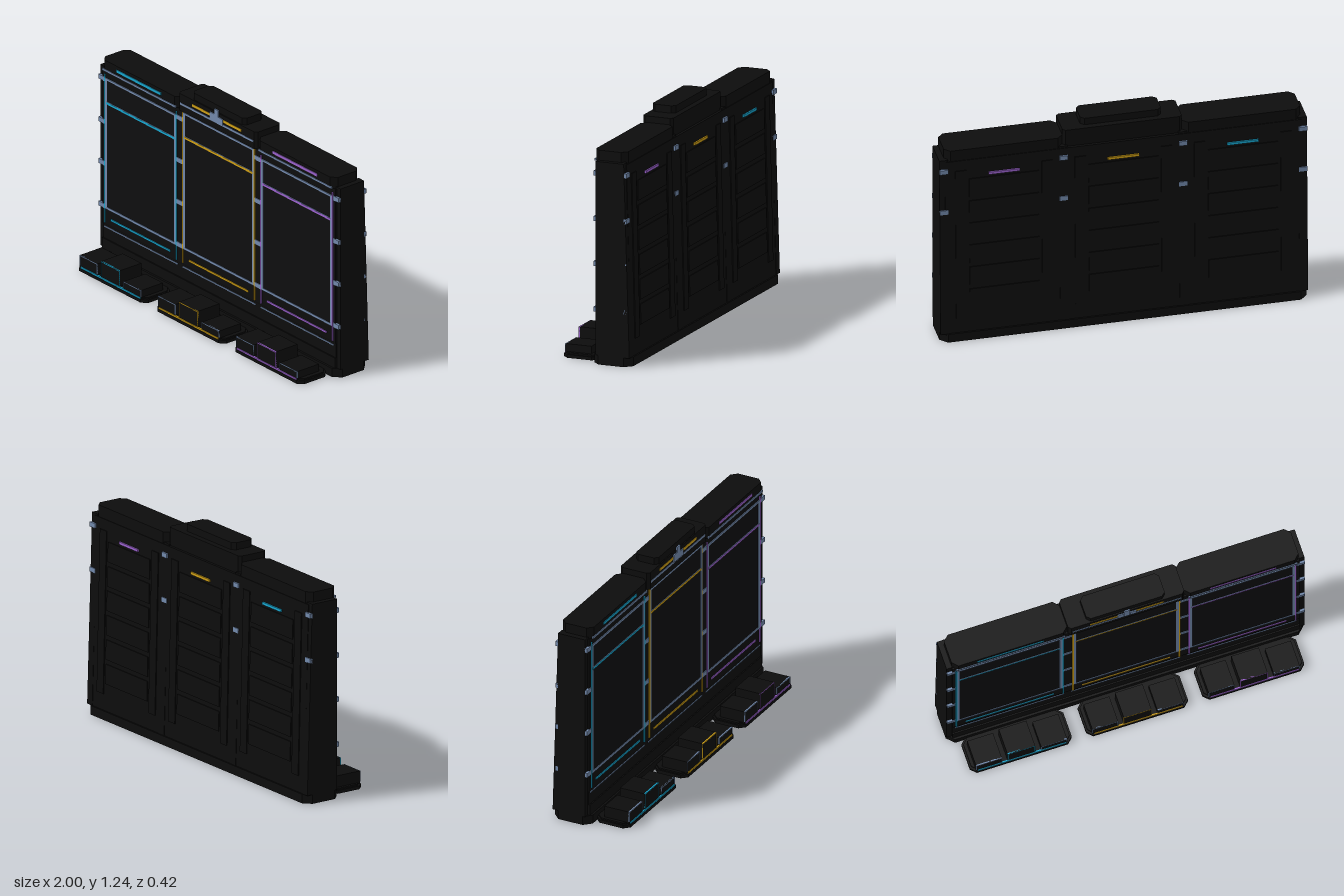
import * as THREE from 'three';

const mat = (name, color) => {
  const m = new THREE.MeshStandardMaterial({ color });
  m.name = name;
  return m;
};

export function createModel() {
  const model = new THREE.Group();
  model.name = 'displayWall';
  const body = mat('nearBlack', 0x0d0d0d);
  const screenMat = mat('screenBlack', 0x0e0e10);
  const steel = mat('steelBlue', 0x7289ac);
  const cyan = mat('cyan', 0x17a6cf);
  const gold = mat('gold', 0xd0a015);
  const violet = mat('violet', 0x9c63cf);

  const add = (parent, name, geo, material) => {
    const mesh = new THREE.Mesh(geo, material);
    mesh.name = name;
    parent.add(mesh);
    return mesh;
  };
  // Box given by its limits on each axis
  const box = (parent, name, material, x0, x1, y0, y1, z0, z1) => {
    const geo = new THREE.BoxGeometry(x1 - x0, y1 - y0, z1 - z0);
    geo.translate((x0 + x1) / 2, (y0 + y1) / 2, (z0 + z1) / 2);
    return add(parent, name, geo, material);
  };
  // Slab with cut corners in plan; separate cuts for front and back
  const slab = (parent, name, x0, x1, y0, y1, z0, z1, cutFront, cutBack = cutFront) => {
    const s = new THREE.Shape([
      [x0 + cutBack, z0], [x1 - cutBack, z0], [x1, z0 + cutBack], [x1, z1 - cutFront],
      [x1 - cutFront, z1], [x0 + cutFront, z1], [x0, z1 - cutFront], [x0, z0 + cutBack],
    ].map(([x, z]) => new THREE.Vector2(x, z)));
    const geo = new THREE.ExtrudeGeometry(s, { depth: y1 - y0, bevelEnabled: false });
    geo.rotateX(Math.PI / 2).translate(0, y1, 0);
    return add(parent, name, geo, body);
  };
  // Side profile of (z, y) points swept along x
  const sweep = (parent, name, x0, x1, points, material = body) => {
    const s = new THREE.Shape(points.map(([z, y]) => new THREE.Vector2(z, y)));
    const geo = new THREE.ExtrudeGeometry(s, { depth: x1 - x0, bevelEnabled: false });
    geo.rotateY(-Math.PI / 2).translate(x1, 0, 0);
    return add(parent, name, geo, material);
  };
  // The rear face leans forward as it rises
  const backZ = (y) => -0.205 + 0.024 * y;
  const backPlate = (parent, name, x0, x1, y0, y1, out, material = body) =>
    sweep(parent, name, x0, x1, [
      [backZ(y0) - out, y0], [backZ(y0) + 0.004, y0],
      [backZ(y1) + 0.004, y1], [backZ(y1) - out, y1],
    ], material);

  // Main wall, plinth and kick band
  sweep(model, 'wall', -0.97, 0.97, [
    [backZ(0.04), 0.04], [-0.006, 0.04], [-0.006, 0.19], [-0.003, 0.2],
    [-0.003, 1.1], [backZ(1.1), 1.1],
  ]);
  slab(model, 'plinth', -1, 1, 0, 0.05, -0.213, 0.013, 0.04);
  box(model, 'kickBand', body, -0.97, 0.97, 0.05, 0.11, -0.02, 0.001);

  // Pillars with clips on both faces
  for (const px of [-0.977, -0.325, 0.325, 0.977]) {
    const pillar = new THREE.Group();
    pillar.name = 'pillar';
    model.add(pillar);
    const w = 0.023;
    sweep(pillar, 'pillarBody', px - w, px + w, [
      [backZ(0.05) - 0.003, 0.05], [-0.012, 0.05], [-0.012, 1.11], [backZ(1.11) + 0.004, 1.11],
    ]);
    for (const y of [0.3, 0.55, 0.795, 1.045]) {
      box(pillar, 'frontClip', steel, px - w, px + w, y - 0.013, y + 0.013, -0.016, 0.001);
      const z = backZ(y);
      box(pillar, 'backClip', steel, px - w, px + w, y - 0.013, y + 0.013, -0.19, Math.max(-0.174, z));
    }
  }

  // Headers
  slab(model, 'rightHeader', -0.97, -0.325, 1.1, 1.165, -0.175, 0.01, 0.03);
  slab(model, 'leftHeader', 0.325, 0.97, 1.1, 1.165, -0.175, 0.01, 0.03);
  slab(model, 'centreHeader', -0.325, 0.325, 1.1, 1.2, -0.163, 0.012, 0.015);
  slab(model, 'crown', -0.22, 0.22, 1.2, 1.24, -0.13, 0.005, 0.02);

  // Stepped ornament on the centre header
  box(model, 'ornamentMiddle', steel, -0.016, 0.016, 1.143, 1.218, 0.01, 0.018);
  box(model, 'ornamentRight', steel, -0.053, -0.018, 1.143, 1.187, 0.01, 0.018);
  box(model, 'ornamentLeft', steel, 0.018, 0.053, 1.143, 1.18, 0.01, 0.018);

  // One display bay: screen, trims, rear panel and stepped platform
  const makeBay = (name, cx, accent, tall) => {
    const bay = new THREE.Group();
    bay.name = name;
    bay.position.x = cx;
    model.add(bay);
    const top = tall ? 1.085 : 1.05;
    const line = (part, material, x0, x1, y, h, z = 0.002) =>
      box(bay, part, material, x0, x1, y - h / 2, y + h / 2, z - 0.008, z);

    box(bay, 'screen', screenMat, -0.29, 0.29, 0.295, top, -0.008, -0.001);
    line('screenTopTrim', steel, -0.293, 0.293, top, 0.011);
    line('screenBottomTrim', steel, -0.293, 0.293, 0.295, 0.014);
    line('screenDivider', steel, -0.285, 0.285, top - 0.132, 0.004);
    line('screenAccent', accent, -0.285, 0.285, top - 0.126 - 0.013, 0.012, 0.003);
    for (const s of [-1, 1]) {
      const x = s * 0.287;
      box(bay, 'screenSideTrim', steel, x - 0.008, x + 0.008, 0.29, top + 0.005, -0.006, 0.002);
      const a = s * 0.298;
      box(bay, 'sideAccent', accent, a - 0.004, a + 0.004, 0.205, top + 0.025, -0.006, 0.003);
    }
    const hy = tall ? 1.143 : 1.107;
    const half = tall ? 0.205 : 0.185;
    line('headerTrim', steel, -0.305, 0.305, hy, 0.012, 0.014);
    line('headerAccent', accent, -half, half, hy + (tall ? 0.026 : 0.031), 0.015, 0.014);
    line('lowerAccent', accent, -0.247, 0.247, 0.236, 0.011);
    line('lowerTrim', steel, -0.305, 0.305, 0.18, 0.006, -0.002);

    // Rear door frame, slats and marker
    for (const s of [-1, 1])
      backPlate(bay, 'rearStile', s * 0.235 - 0.03, s * 0.235 + 0.03, 0.14, 1.04, 0.005);
    for (let i = 0; i < 6; i++)
      backPlate(bay, 'rearSlat', -0.19, 0.19, 0.2 + i * 0.135, 0.31 + i * 0.135, 0.005);
    backPlate(bay, 'rearMarker', -0.085, 0.085, 1.0, 1.014, 0.009, accent);

    // Platform with three blocks, outlined on their front faces
    slab(bay, 'platform', -0.285, 0.285, 0, 0.018, 0.01, 0.211, 0.03);
    slab(bay, 'platformDeck', -0.275, 0.275, 0.018, 0.026, 0.015, 0.203, 0.03);
    line('platformAccent', accent, -0.247, 0.247, 0.022, 0.009, 0.209);
    const blocks = [
      ['secondBlock', -0.257, -0.113, 0.09, steel],
      ['firstBlock', -0.081, 0.073, 0.118, accent],
      ['thirdBlock', 0.107, 0.252, 0.068, steel],
    ];
    for (const [part, x0, x1, h, m] of blocks) {
      box(bay, part, body, x0, x1, 0.02, h, 0.055, 0.204);
      line(part + 'Outline', m, x0, x1, h - 0.002, 0.004, 0.206);
      for (const x of [x0, x1 - 0.003])
        box(bay, part + 'Outline', m, x, x + 0.003, 0.03, h, 0.2, 0.206);
    }
  };
  makeBay('rightBay', -0.65, cyan, false);
  makeBay('centreBay', 0, gold, true);
  makeBay('leftBay', 0.65, violet, false);

  return model;
}
